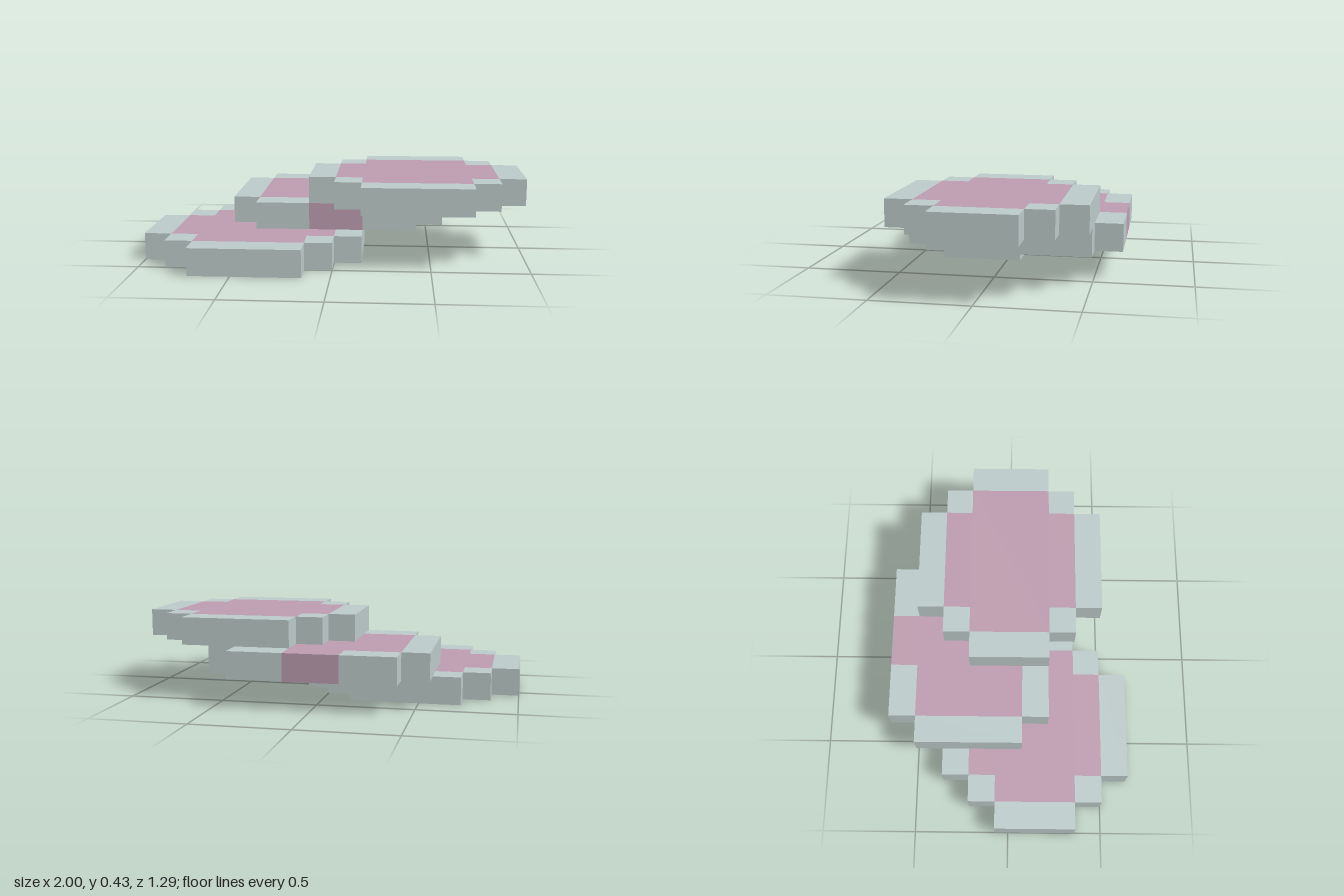
import * as THREE from 'three';
import { mergeGeometries } from 'three/addons/utils/BufferGeometryUtils.js';

const U = 1 / 7; // one grid cell

// Boxes given as [x0, x1, z0, z1] in cells; those off an axis are mirrored across it.
function slab(cells, material, name) {
  const parts = [];
  for (const [x0, x1, z0, z1] of cells) {
    for (const sx of x0 > 0 ? [1, -1] : [1]) {
      for (const sz of z0 > 0 ? [1, -1] : [1]) {
        const box = new THREE.BoxGeometry((x1 - x0) * U, U, (z1 - z0) * U);
        box.translate(sx * (x0 + x1) / 2 * U, U / 2, sz * (z0 + z1) / 2 * U);
        parts.push(box);
      }
    }
  }
  const mesh = new THREE.Mesh(mergeGeometries(parts), material);
  mesh.name = name;
  return mesh;
}

// Large stepped pad with an enclosed core
const largePad = {
  rim: [[-2, 2, 2.5, 3.5], [3, 4, -1.5, 1.5], [2, 3, 1.5, 2.5]],
  core: [[-3, 3, -1.5, 1.5], [-2, 2, 1.5, 2.5]],
};

// Smaller pad whose core reaches the front and back edges
const smallPad = {
  rim: [[3, 4, -2, 2], [1, 3, 2, 3]],
  core: [[-3, 3, -2, 2], [-1, 1, 2, 3]],
};

export function createModel() {
  const grey = new THREE.MeshStandardMaterial({ color: 0xbac9c8 });
  grey.name = 'paleGrey';
  const pink = new THREE.MeshStandardMaterial({ color: 0xbc9bae });
  pink.name = 'dustyPink';

  const model = new THREE.Group();
  model.name = 'stackedPads';

  // Three overlapping layers, each one cell thick
  const layers = [
    ['lowerPad', largePad, -3, 1],
    ['middlePad', smallPad, 0, -1.5],
    ['upperPad', largePad, 3, 0],
  ];
  layers.forEach(([name, pad, x, z], level) => {
    const group = new THREE.Group();
    group.name = name;
    group.add(slab(pad.rim, grey, 'rim'), slab(pad.core, pink, 'core'));
    group.position.set(x * U, level * U, z * U);
    model.add(group);
  });

  return model;
}
